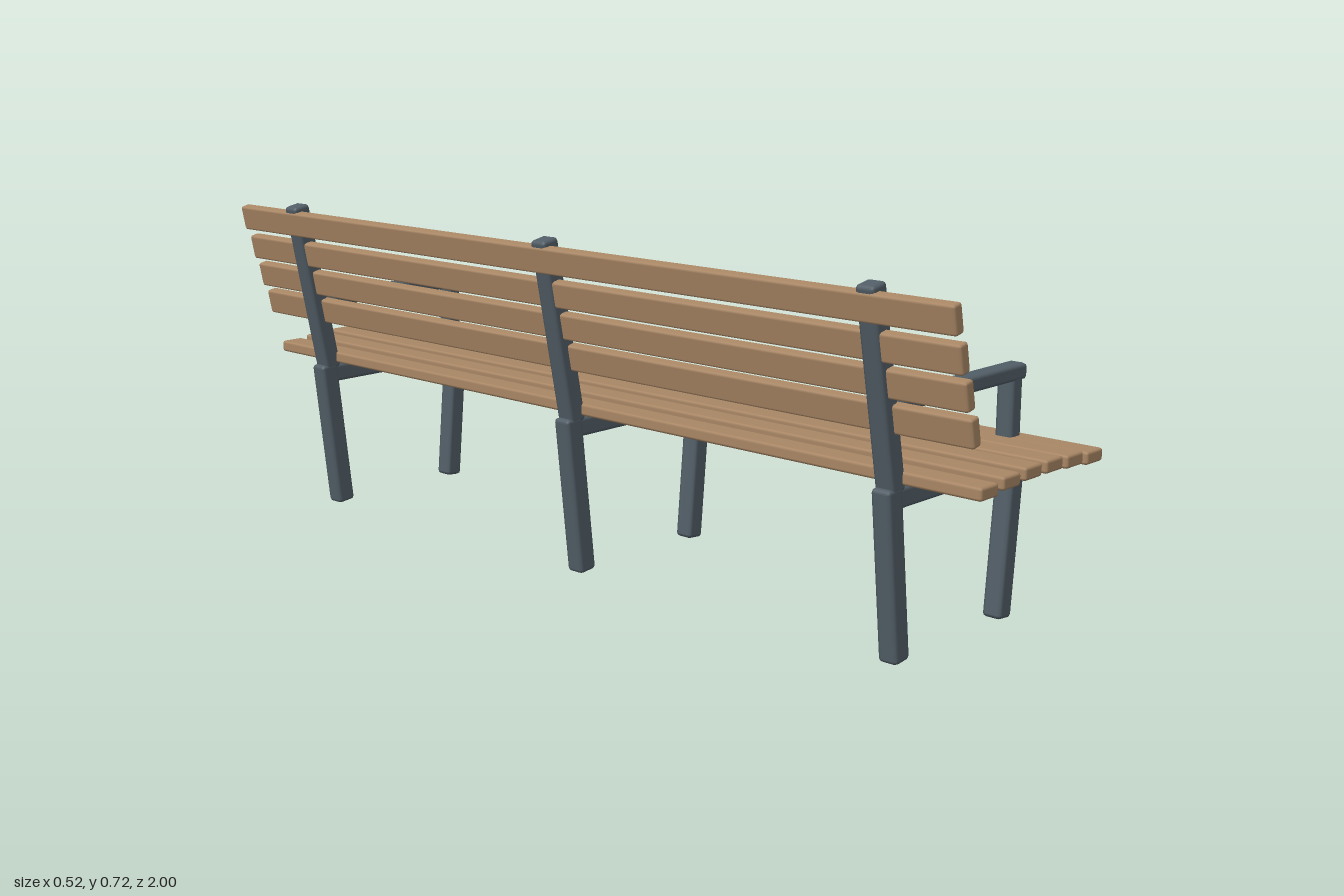
import * as THREE from 'three';
import { RoundedBoxGeometry } from 'three/addons/geometries/RoundedBoxGeometry.js';

export function createModel() {
  const bench = new THREE.Group();
  bench.name = 'bench';

  const wood = new THREE.MeshStandardMaterial({ color: 0xa98765 });
  wood.name = 'wood';
  const metal = new THREE.MeshStandardMaterial({ color: 0x525e67 });
  metal.name = 'painted metal';

  // A softly bevelled bar running from a to b in the x-y plane
  function bar(name, parent, a, b, width, depth) {
    const dx = b[0] - a[0], dy = b[1] - a[1];
    const geometry = new RoundedBoxGeometry(width, Math.hypot(dx, dy), depth, 1, 0.0085);
    const mesh = new THREE.Mesh(geometry, metal);
    mesh.name = name;
    mesh.position.set((a[0] + b[0]) / 2, (a[1] + b[1]) / 2, 0);
    mesh.rotation.z = Math.atan2(-dx, dy);
    parent.add(mesh);
  }

  // Three frames; only the outer two carry armrests
  for (const z of [-0.812, 0, 0.812]) {
    const frame = new THREE.Group();
    frame.name = z === 0 ? 'middleFrame' : 'endFrame';
    frame.position.z = z;
    bar('rearLeg', frame, [-0.133, 0.002], [-0.172, 0.342], 0.045, 0.043);
    bar('frontLeg', frame, [0.209, 0.002], [0.239, 0.342], 0.043, 0.043);
    bar('seatRail', frame, [-0.175, 0.319], [0.24, 0.319], 0.042, 0.039);
    bar('backPost', frame, [-0.159, 0.33], [-0.238, 0.722], 0.043, 0.042);
    if (z !== 0) {
      bar('armrest', frame, [-0.152, 0.495], [0.252, 0.495], 0.033, 0.042);
      bar('armrestPost', frame, [0.222, 0.335], [0.222, 0.498], 0.037, 0.039);
    }
    bench.add(frame);
  }

  // Full-length slats share one geometry
  const slatGeometry = new RoundedBoxGeometry(0.057, 0.026, 2, 1, 0.006);
  function slat(name, x, y, angle) {
    const mesh = new THREE.Mesh(slatGeometry, wood);
    mesh.name = name;
    mesh.position.set(x, y, 0);
    mesh.rotation.z = angle;
    bench.add(mesh);
  }

  // Seat slats follow a gentle crown
  const seatHeights = [0.357, 0.363, 0.367, 0.367, 0.363, 0.357];
  seatHeights.forEach((y, i) => slat('seatSlat', -0.125 + i * 0.071, y, 0));

  // Backrest slats lean back with the posts
  const backSlats = [[-0.175, 0.473], [-0.197, 0.541], [-0.218, 0.609], [-0.241, 0.68]];
  for (const [x, y] of backSlats) slat('backSlat', x, y, Math.PI / 2 + 0.2);

  return bench;
}
